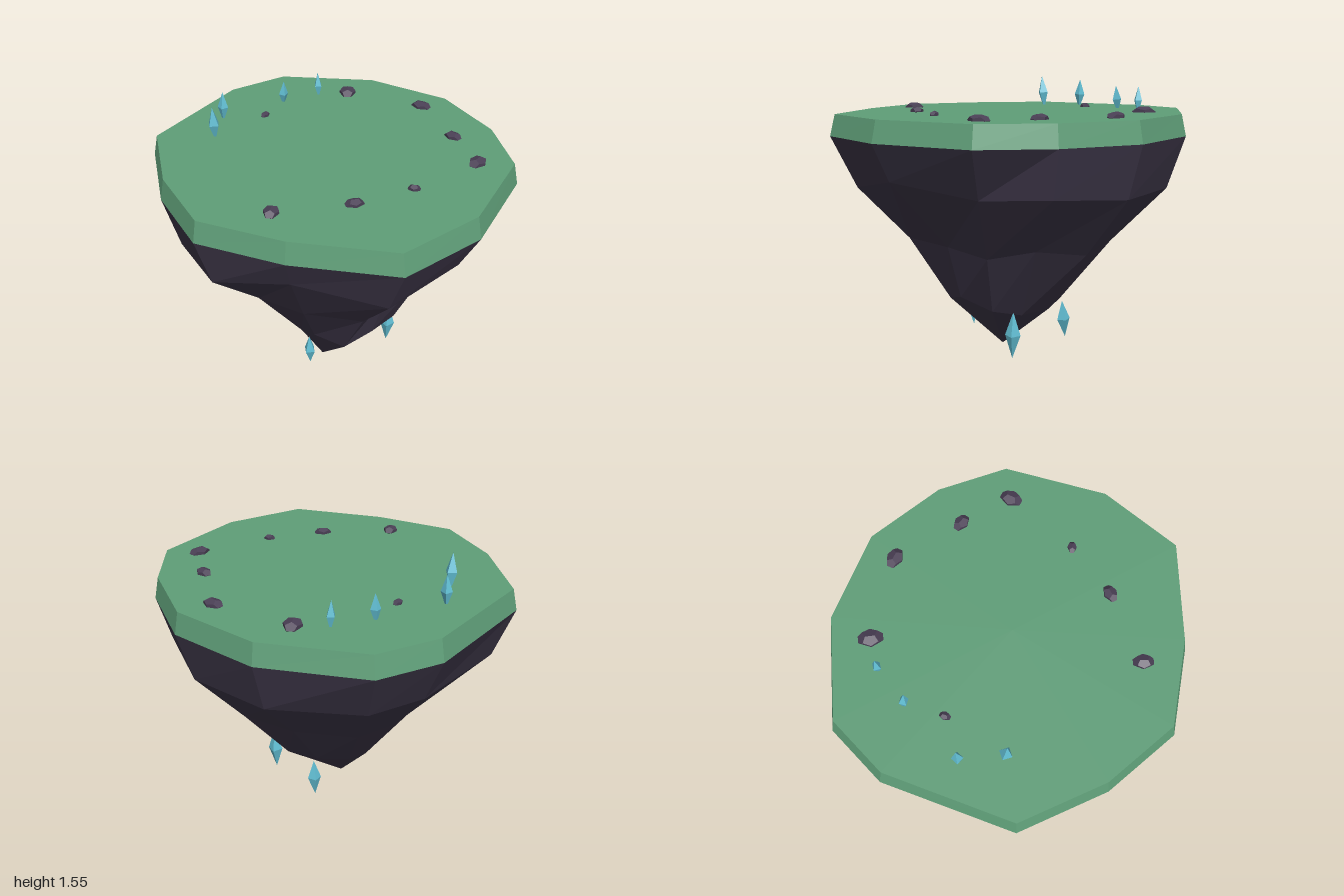
import * as THREE from 'three';

const mat = (name, color) => {
  const m = new THREE.MeshStandardMaterial({ color, flatShading: true });
  m.name = name;
  return m;
};

// Flat-faced skin between stacked rings of points; the rings run from bottom to top.
function loft(rings, capTop) {
  const pos = [];
  const tri = (...pts) => pts.forEach((p) => pos.push(...p));
  const n = rings[0].length;
  for (let r = 0; r < rings.length - 1; r++) {
    for (let i = 0; i < n; i++) {
      const j = (i + 1) % n;
      const a = rings[r][i], b = rings[r][j], c = rings[r + 1][j], d = rings[r + 1][i];
      if (a !== b) tri(a, b, c);
      tri(a, c, d);
    }
  }
  if (capTop) {
    const top = rings[rings.length - 1];
    for (let i = 0; i < n; i++) tri([0, top[0][1], 0], top[i], top[(i + 1) % n]);
  }
  const g = new THREE.BufferGeometry();
  g.setAttribute('position', new THREE.Float32BufferAttribute(pos, 3));
  g.computeVertexNormals();
  return g;
}

export function createModel() {
  const island = new THREE.Group();
  island.name = 'floatingIsland';
  const grass = mat('grass green', 0x5f9e78);
  const rock = mat('dark rock', 0x3d3648);
  const stone = mat('stone', 0x4a3f55);
  const crystal = mat('crystal blue', 0x62bfd4);

  const add = (name, geo, material, p = [0, 0, 0]) => {
    const m = new THREE.Mesh(geo, material);
    m.name = name;
    m.position.set(...p);
    island.add(m);
    return m;
  };

  // Each column: rim x, z, then (spread from the tip, height) for three rings below
  const columns = [
    [-0.20, 0.99, 0.86, 0.98, 0.57, 0.68, 0.33, 0.31],
    [0.28, 0.92, 0.89, 1.06, 0.47, 0.66, 0.37, 0.36],
    [0.76, 0.61, 0.84, 1.00, 0.58, 0.65, 0.41, 0.32],
    [0.90, 0.24, 0.93, 1.01, 0.65, 0.70, 0.40, 0.29],
    [0.91, -0.22, 0.92, 0.98, 0.65, 0.65, 0.38, 0.30],
    [0.67, -0.67, 0.91, 0.98, 0.62, 0.67, 0.34, 0.31],
    [0.21, -1.00, 0.86, 0.98, 0.59, 0.66, 0.32, 0.32],
    [-0.15, -0.98, 0.86, 0.99, 0.58, 0.67, 0.30, 0.31],
    [-0.77, -0.64, 0.89, 0.98, 0.57, 0.68, 0.24, 0.30],
    [-0.91, -0.17, 0.91, 0.97, 0.55, 0.70, 0.19, 0.28],
    [-0.915, 0.27, 0.90, 0.98, 0.56, 0.71, 0.20, 0.29],
    [-0.62, 0.64, 0.89, 1.08, 0.59, 0.70, 0.28, 0.34],
  ];
  const tip = [-0.09, 0, 0.03];
  const rimY = 1.26, topY = 1.375;
  const rim = columns.map(([x, z]) => [x, rimY, z]);
  const ring = (k) => columns.map((c) => [
    tip[0] + (c[0] - tip[0]) * c[k], c[k + 1], tip[2] + (c[1] - tip[2]) * c[k]]);

  // Rock underside and grass slab
  add('rockBase', loft([columns.map(() => tip), ring(6), ring(4), ring(2), rim]), rock);
  add('grassTop', loft([rim, rim.map(([x, , z]) => [x * 0.975, topY, z * 0.972])], true), grass);

  // Crystals: x, centre y, z, radius, half height
  const crystals = {
    topCrystal: [
      [-0.48, 1.45, -0.455, 0.035, 0.102], [-0.345, 1.44, -0.64, 0.03, 0.09],
      [0.045, 1.425, -0.655, 0.027, 0.08], [0.27, 1.43, -0.645, 0.026, 0.08]],
    hangingCrystal: [
      [-0.245, 0.195, 0.155, 0.036, 0.105], [0.29, 0.18, 0.16, 0.043, 0.133],
      [0.19, 0.19, -0.22, 0.038, 0.108]],
  };
  for (const [name, list] of Object.entries(crystals)) {
    list.forEach(([x, y, z, r, h], i) => {
      const m = add(name, new THREE.OctahedronGeometry(1), crystal, [x, y, z]);
      m.scale.set(r, h, r);
      m.rotation.set(0.04, 0.4 + i * 0.5, i % 2 ? -0.06 : 0.06);
    });
  }

  // Flat stones around the rim: x, z, radius, turn
  const stones = [
    [-0.13, -0.545, 0.028, 0.5], [0.43, -0.57, 0.062, 1.0], [0.705, -0.2, 0.055, 2.0],
    [0.64, 0.195, 0.048, 1.8], [0.58, 0.49, 0.057, 0.4], [0.15, 0.54, 0.031, 2.4],
    [-0.175, 0.51, 0.046, 2.9], [-0.555, 0.38, 0.051, 0.9],
  ];
  for (const [x, z, r, turn] of stones) {
    const m = add('stone', new THREE.DodecahedronGeometry(1), stone, [x, topY + 0.003, z]);
    m.scale.set(r * 1.1, 0.015 + r * 0.25, r * 0.82);
    m.rotation.y = turn;
  }
  return island;
}
